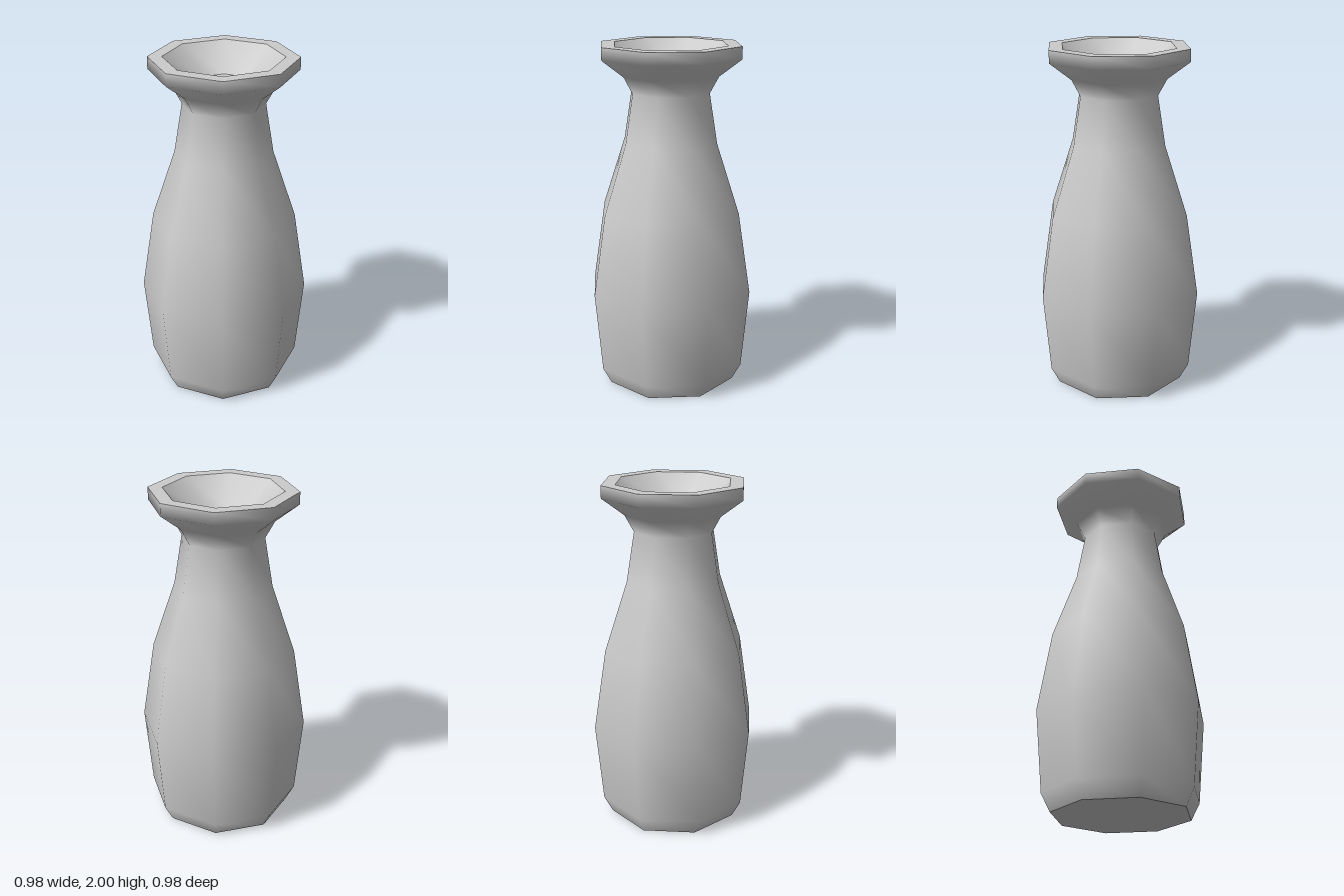
import * as THREE from 'three';

const SIDES = 8;

export function createModel() {
  const model = new THREE.Group();
  model.name = 'vase';
  const material = new THREE.MeshStandardMaterial({ color: 0xcccccc });

  // Each smooth zone is its own lathe, so the edges between zones stay sharp.
  const addRing = (name, profile) => {
    const points = profile.map(([r, y]) => new THREE.Vector2(r, y));
    const mesh = new THREE.Mesh(new THREE.LatheGeometry(points, SIDES), material);
    mesh.name = name;
    model.add(mesh);
  };

  // Flat foot
  addRing('base', [[0, 0], [0.395, 0]]);

  // Outer wall: belly, neck and flared lip
  addRing('body', [
    [0.395, 0], [0.447, 0.1], [0.49, 0.575], [0.415, 1.05], [0.28, 1.45],
    [0.233, 1.735], [0.285, 1.83], [0.415, 1.93], [0.415, 2],
  ]);

  // Flat top of the lip
  addRing('rim', [[0.415, 2], [0.335, 2]]);

  // Shallow funnel inside the lip, closed by a flat floor
  addRing('funnel', [[0.335, 2], [0.163, 1.85]]);
  addRing('funnelFloor', [[0.163, 1.85], [0, 1.85]]);

  return model;
}
